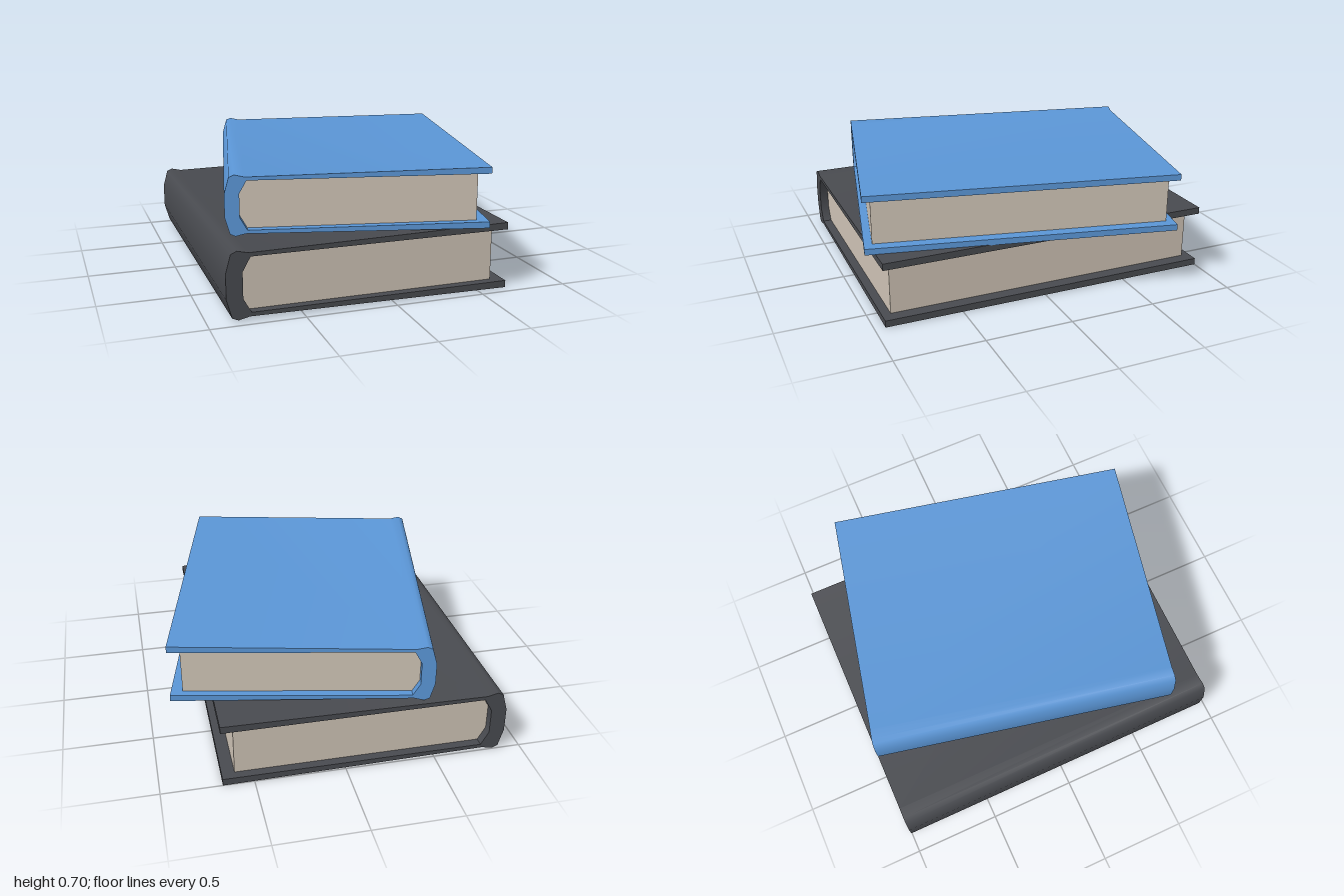
import * as THREE from 'three';
import { toCreasedNormals } from 'three/addons/utils/BufferGeometryUtils.js';

const HEIGHT = 0.373, LENGTH = 1.94, PAGE_INSET = 0.05;

// Upper half of the cover section, from the spine to the fore edge (x, y)
const outer = [[-0.785, 0.255], [-0.757, 0.355], [-0.725, 0.369], [-0.665, 0.355], [0.785, HEIGHT]];
const inner = [[-0.698, 0.258], [-0.655, 0.334], [0.785, 0.334]];
const block = [[-0.698, 0.258], [-0.655, 0.334], [0.715, 0.334]];

const flip = (points) => points.map(([x, y]) => [x, HEIGHT - y]);
const reversed = (points) => [...points].reverse();

// Extrude a section along z, centred, with sharp edges kept
function extrude(points, depth, crease) {
  const shape = new THREE.Shape(points.map(([x, y]) => new THREE.Vector2(x, y)));
  const geometry = new THREE.ExtrudeGeometry(shape, { depth, bevelEnabled: false });
  geometry.translate(0, 0, -depth / 2);
  return toCreasedNormals(geometry, crease);
}

function createBook(name, color) {
  const book = new THREE.Group();
  book.name = name;

  // Cover: both boards and the rounded spine in one C-shaped section
  const section = [
    ...reversed(outer), ...flip(outer),
    ...reversed(flip(inner)), ...inner,
  ];
  const cover = new THREE.Mesh(
    extrude(section, LENGTH, 0.95),
    new THREE.MeshStandardMaterial({ color }),
  );
  cover.name = 'cover';

  // Page block, set back from the three open edges
  const pages = new THREE.Mesh(
    extrude([...reversed(block), ...flip(block)], LENGTH - 2 * PAGE_INSET, 0.3),
    new THREE.MeshStandardMaterial({ color: 0xcdc2b4 }),
  );
  pages.name = 'pages';

  book.add(cover, pages);
  return book;
}

export function createModel() {
  const model = new THREE.Group();
  model.name = 'bookStack';

  const lower = createBook('lowerBook', 0x484a4f);
  lower.position.set(-0.115, 0, -0.03);

  // Smaller book, turned on top of the first
  const upper = createBook('upperBook', 0x5a95d5);
  upper.scale.setScalar(0.894);
  upper.position.set(0.025, 0.37, 0);
  upper.rotation.y = -0.213;

  model.add(lower, upper);
  return model;
}
